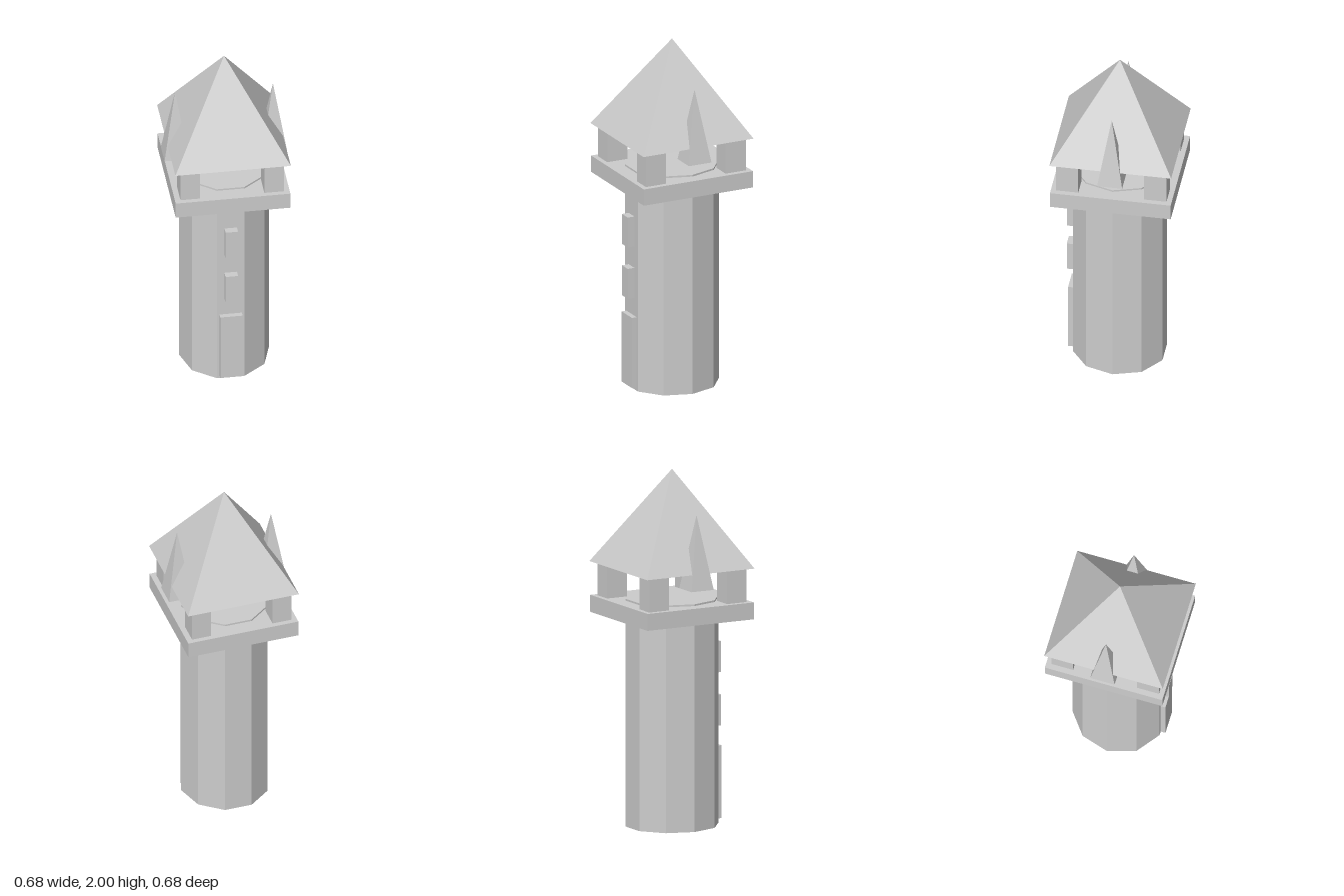
import * as THREE from 'three';

export function createModel() {
  const group = new THREE.Group();
  const stone = new THREE.MeshStandardMaterial({ color: 0xcccccc });
  stone.name = 'pale grey stone';
  stone.flatShading = true;

  function add(name, geometry, x, y, z) {
    const mesh = new THREE.Mesh(geometry, stone);
    mesh.name = name;
    mesh.position.set(x, y, z);
    group.add(mesh);
    return mesh;
  }

  // Box given by its centre in x and z and its bottom and top heights
  function box(name, w, d, bottom, top, x = 0, z = 0) {
    return add(name, new THREE.BoxGeometry(w, top - bottom, d), x, (bottom + top) / 2, z);
  }

  // Closed four-sided pyramid with its sides square to the axes
  function pyramid(name, w, d, bottom, top, x = 0) {
    const g = new THREE.ConeGeometry(Math.SQRT1_2, top - bottom, 4);
    g.rotateY(Math.PI / 4);
    g.scale(w, 1, d);
    return add(name, g, x, (bottom + top) / 2, 0);
  }

  // Ten-sided shaft, slightly deeper than wide, rising just through the platform
  const shaft = new THREE.CylinderGeometry(0.25, 0.25, 1.28, 10);
  shaft.rotateY(Math.PI / 2);
  shaft.scale(1, 1, 1.055);
  add('shaft', shaft, 0, 0.64, 0);

  // Lookout platform
  box('platform', 0.64, 0.676, 1.175, 1.27);

  // Corner posts carrying the roof
  for (const sx of [-1, 1]) {
    for (const sz of [-1, 1]) {
      box('post', 0.11, 0.125, 1.27, 1.46, sx * 0.234, sz * 0.247);
    }
  }

  // Main roof and the two side spires
  pyramid('roof', 0.644, 0.682, 1.46, 2);
  for (const sx of [-1, 1]) pyramid('spire', 0.138, 0.14, 1.37, 1.785, sx * 0.273);

  // Door and windows on the front face
  box('door', 0.125, 0.06, 0.02, 0.43, 0, 0.25);
  for (const y of [0.535, 0.835]) box('window', 0.07, 0.07, y, y + 0.175, 0, 0.257);

  return group;
}
